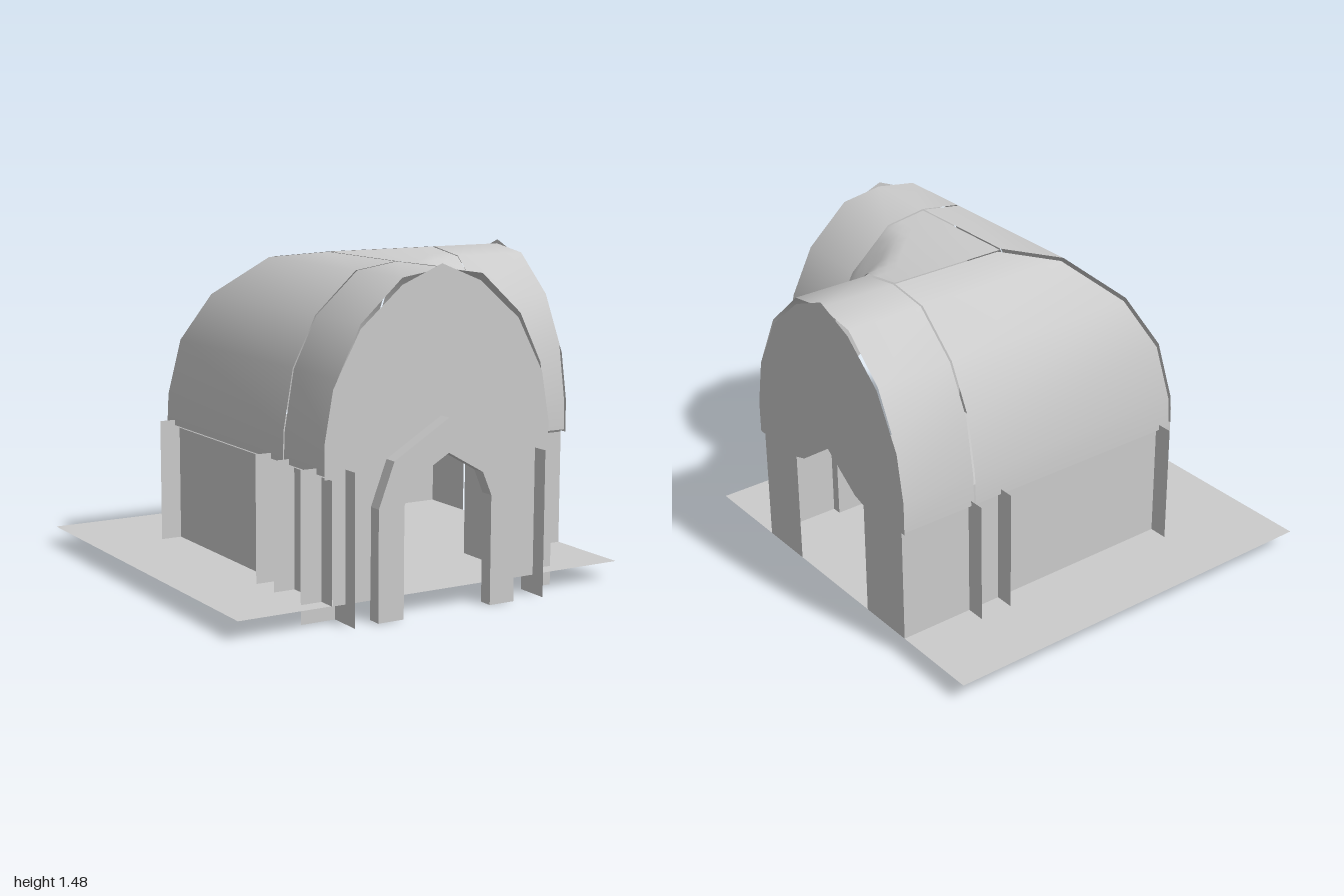
import * as THREE from 'three';

const grey = new THREE.MeshStandardMaterial({ color: 0xcccccc, side: THREE.DoubleSide });

// Half profile of the vault: distance from the ridge, height
const PROFILE = [[0.56, 0.63], [0.555, 0.77], [0.51, 1.03], [0.4, 1.25], [0.2, 1.43], [0, 1.46]];
const BZ = -0.04; // centre line of the side corridor

export function createModel() {
  const group = new THREE.Group();
  const add = (name, geometry) => {
    const mesh = new THREE.Mesh(geometry, grey);
    mesh.name = name;
    group.add(mesh);
    return mesh;
  };

  // Surface through rows of points, smooth normals
  const loft = (rows) => {
    const n = rows[0].length, index = [];
    for (let i = 0; i < rows.length - 1; i++)
      for (let j = 0; j < n - 1; j++) {
        const a = i * n + j, b = a + n;
        index.push(a, b, a + 1, b, b + 1, a + 1);
      }
    const g = new THREE.BufferGeometry();
    g.setAttribute('position', new THREE.Float32BufferAttribute(rows.flat(2), 3));
    g.setIndex(index);
    g.computeVertexNormals();
    return g;
  };

  // Upright rectangle between two ground points
  const panel = (name, x0, z0, x1, z1, y0 = 0.085, y1 = 0.615) =>
    add(name, loft([[[x0, y0, z0], [x1, y0, z1]], [[x0, y1, z0], [x1, y1, z1]]]));

  // Floor
  const floor = add('floor', new THREE.PlaneGeometry(1.93, 1.92).rotateX(-Math.PI / 2));
  floor.position.set(-0.005, 0.085, -0.04);

  // Barrel vaults over the two open ends
  const left = PROFILE.map(([d, y]) => [-d, y]);
  const full = [...left, ...PROFILE.slice(0, -1).reverse()];
  add('frontVault', loft(full.map(([d, y]) => [[d, y, 0.565], [d, y, 0.925]])));
  add('sideVault', loft(full.map(([d, y]) => [[0.595, y, d + BZ], [0.96, y, d + BZ]])));

  // Outer half vaults, mitred at the corner
  add('leftHalfVault', loft(left.map(([d, y]) => [[d, y, d - 0.02], [d, y, 0.555]])));
  add('backHalfVault', loft(left.map(([d, y]) => [[d + 0.03, y, d + BZ], [0.585, y, d + BZ]])));

  // Inner corner of the roof, blending both half profiles
  const heightAt = (d) => {
    for (let i = 1; i < PROFILE.length - 1; i++) {
      const [d0, y0] = PROFILE[i], [d1, y1] = PROFILE[i + 1];
      if (d >= d1) return THREE.MathUtils.lerp(y0, y1, Math.min(1, (d0 - d) / (d0 - d1)));
    }
    return 1.46;
  };
  const steps = [1, 0.97, 0.91, 0.81, 0.71, 0.6, 0.48, 0.36, 0.24, 0.12, 0];
  add('innerCornerRoof', loft(steps.map((a) => steps.map((b) =>
    [0.01 + 0.57 * a, heightAt(0.555 * a * b), -0.03 + 0.58 * b]))));

  // Gable with a pointed notch over the doorway, and its lower panels
  const gableGeometry = () => {
    const half = [[0.565, 0.62], [0.565, 0.77], [0.525, 0.99], [0.395, 1.23], [0.195, 1.4]];
    const s = new THREE.Shape();
    s.moveTo(-0.265, 0.62);
    half.forEach(([x, y]) => s.lineTo(-x, y));
    s.lineTo(0, 1.48);
    half.reverse().forEach(([x, y]) => s.lineTo(x, y));
    s.lineTo(0.265, 0.62);
    s.lineTo(0.2, 0.64);
    s.lineTo(0, 0.78);
    s.lineTo(-0.2, 0.64);
    return new THREE.ShapeGeometry(s);
  };
  add('frontGable', gableGeometry()).position.set(-0.005, 0, 0.925);
  const sideGable = add('sideGable', gableGeometry());
  sideGable.rotation.y = Math.PI / 2;
  sideGable.position.set(0.96, 0, BZ + 0.005);
  panel('frontPanelLeft', 0.265, 0.925, 0.545, 0.925, 0.085, 0.62);
  panel('frontPanelRight', -0.53, 0.925, -0.265, 0.925, 0.085, 0.62);
  panel('sidePanelFront', 0.96, 0.23, 0.96, 0.495, 0.085, 0.62);
  panel('sidePanelBack', 0.96, -0.3, 0.96, -0.58, 0.085, 0.62);

  // Long walls
  panel('leftWall', -0.535, -0.58, -0.535, 0.925);
  panel('backWall', -0.535, -0.58, 0.96, -0.58);
  panel('innerWallFront', 0.545, 0.495, 0.545, 0.925);
  panel('innerWallSide', 0.545, 0.495, 0.96, 0.495);

  // Posts of thin fins: x range, z range, which sides are present (l, r, b, f)
  const posts = [
    [-0.635, -0.47, 0.84, 1.0, 'rb'],
    [0.49, 0.65, 0.84, 1.0, 'lb'],
    [-0.635, -0.47, 0.45, 0.61, 'rbf'],
    [-0.635, -0.47, -0.67, -0.5, 'rf'],
    [0.45, 0.61, -0.67, -0.5, 'lrf'],
    [0.45, 0.61, 0.45, 0.61, 'lrbf'],
  ];
  for (const [x0, x1, z0, z1, sides] of posts) {
    const fins = { l: [x0, z0, x0, z1], r: [x1, z0, x1, z1], b: [x0, z0, x1, z0], f: [x0, z1, x1, z1] };
    for (const s of sides) panel('postFin', ...fins[s], 0, 0.655);
  }

  // Faceted door arch
  const outer = [[0.345, 0], [0.345, 0.485], [0.27, 0.68], [0, 0.84]];
  const inner = [[0, 0.69], [0.175, 0.59], [0.22, 0.485], [0.22, 0]];
  const mirror = (pts) => pts.map(([x, y]) => [-x, y]).reverse();
  const outline = [...outer, ...mirror(outer).slice(1), ...mirror(inner), ...inner.slice(1)];
  const arch = new THREE.Shape(outline.map(([x, y]) => new THREE.Vector2(x, y)));
  add('doorArch', new THREE.ExtrudeGeometry(arch, { depth: 0.065, bevelEnabled: false }))
    .position.set(-0.003, 0, 0.922);

  return group;
}
